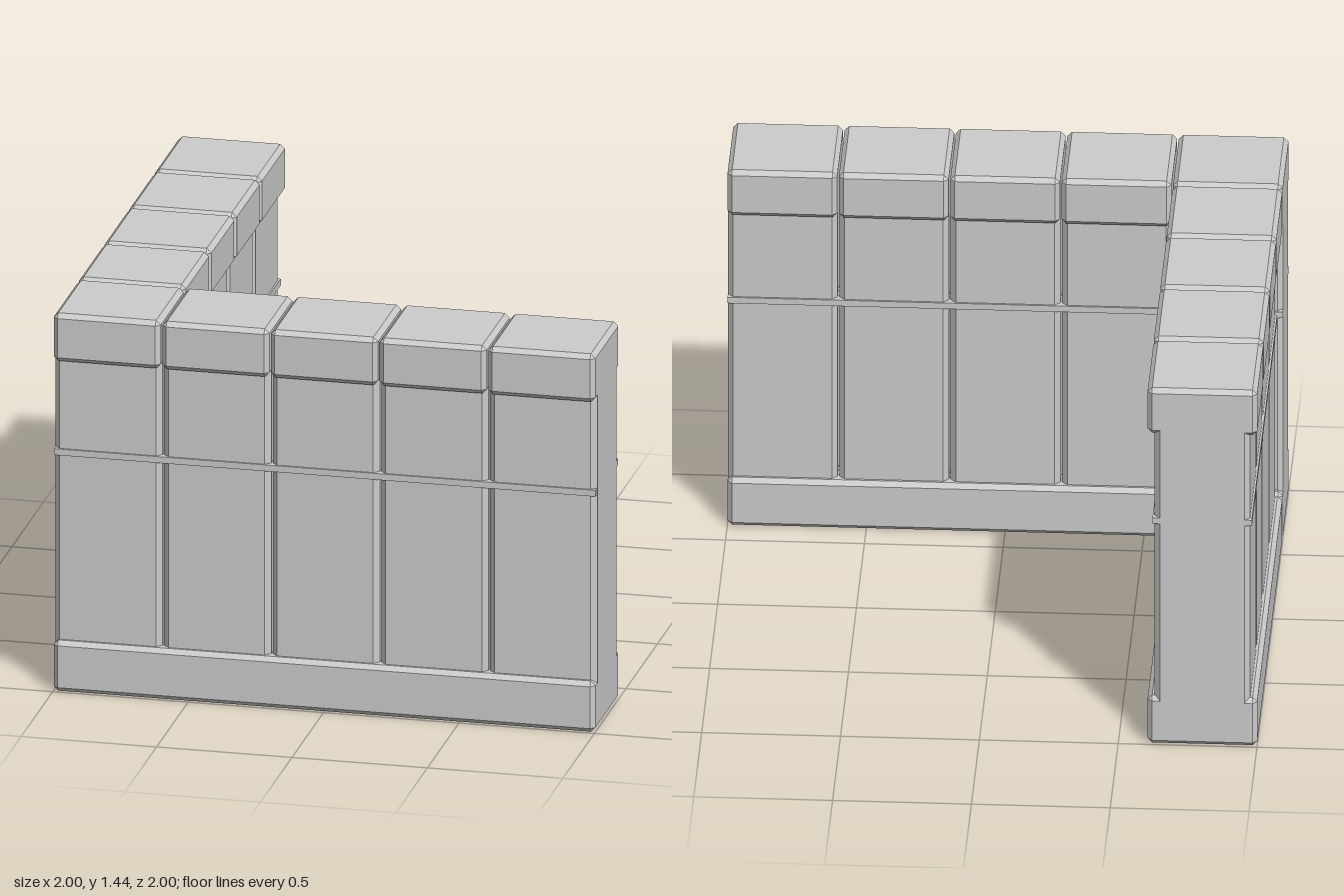
import * as THREE from 'three';
import { ConvexGeometry } from 'three/addons/geometries/ConvexGeometry.js';

const GAP = 0.006;                       // slit between neighbouring blocks
const PITCH = (2 + GAP) / 5;             // spacing of the wall units
const WIDTH = PITCH - GAP;               // width of one unit
const CHAMFER = 0.017;
const BASE_TOP = 0.193, CAP_BOTTOM = 1.257, CAP_TOP = 1.44;

const material = new THREE.MeshStandardMaterial({ color: 0xcccccc, flatShading: true });

// Box with all twelve edges chamfered, centred on the origin
function chamferBox(w, h, d, c) {
  const points = [];
  for (const sx of [-1, 1]) for (const sy of [-1, 1]) for (const sz of [-1, 1]) {
    const x = w / 2, y = h / 2, z = d / 2;
    points.push(
      new THREE.Vector3(sx * x, sy * (y - c), sz * (z - c)),
      new THREE.Vector3(sx * (x - c), sy * y, sz * (z - c)),
      new THREE.Vector3(sx * (x - c), sy * (y - c), sz * z));
  }
  return new ConvexGeometry(points);
}

// Upright post with only its vertical edges chamfered
function chamferPost(w, h, d, c) {
  const x = w / 2, z = d / 2;
  const outline = [
    [x - c, -z], [x, c - z], [x, z - c], [x - c, z],
    [c - x, z], [-x, z - c], [-x, c - z], [c - x, -z],
  ].map(([a, b]) => new THREE.Vector2(a, b));
  const geometry = new THREE.ExtrudeGeometry(new THREE.Shape(outline), { depth: h, bevelEnabled: false });
  return geometry.translate(0, 0, -h / 2).rotateX(-Math.PI / 2);
}

function addPart(parent, name, geometry, x, y) {
  const mesh = new THREE.Mesh(geometry, material);
  mesh.name = name;
  mesh.position.set(x, y, 0);
  parent.add(mesh);
}

// Straight wall of several units running along x, centred on its own origin
function createWall(name, units) {
  const wall = new THREE.Group();
  wall.name = name;
  const length = units * PITCH - GAP;

  addPart(wall, 'base', chamferBox(length, BASE_TOP, WIDTH, CHAMFER), 0, BASE_TOP / 2);
  addPart(wall, 'rail', new THREE.BoxGeometry(length, 0.024, 0.358), 0, 0.908);

  const panelBottom = BASE_TOP - CHAMFER, panelTop = CAP_BOTTOM + CHAMFER;
  const panel = chamferPost(WIDTH, panelTop - panelBottom, 0.344, 0.02);
  const cap = chamferBox(WIDTH, CAP_TOP - CAP_BOTTOM, WIDTH, CHAMFER);
  for (let i = 0; i < units; i++) {
    const x = (i - (units - 1) / 2) * PITCH;
    addPart(wall, 'panel', panel, x, (panelBottom + panelTop) / 2);
    addPart(wall, 'capstone', cap, x, (CAP_BOTTOM + CAP_TOP) / 2);
  }
  return wall;
}

export function createModel() {
  const model = new THREE.Group();
  model.name = 'cornerWall';

  // Long wall across the front
  const front = createWall('frontWall', 5);
  front.position.z = 1 - WIDTH / 2;
  model.add(front);

  // Shorter wall running back from the corner
  const side = createWall('sideWall', 4);
  side.rotation.y = Math.PI / 2;
  side.position.set(-1 + WIDTH / 2, 0, -1 + (4 * PITCH - GAP) / 2);
  model.add(side);

  return model;
}
